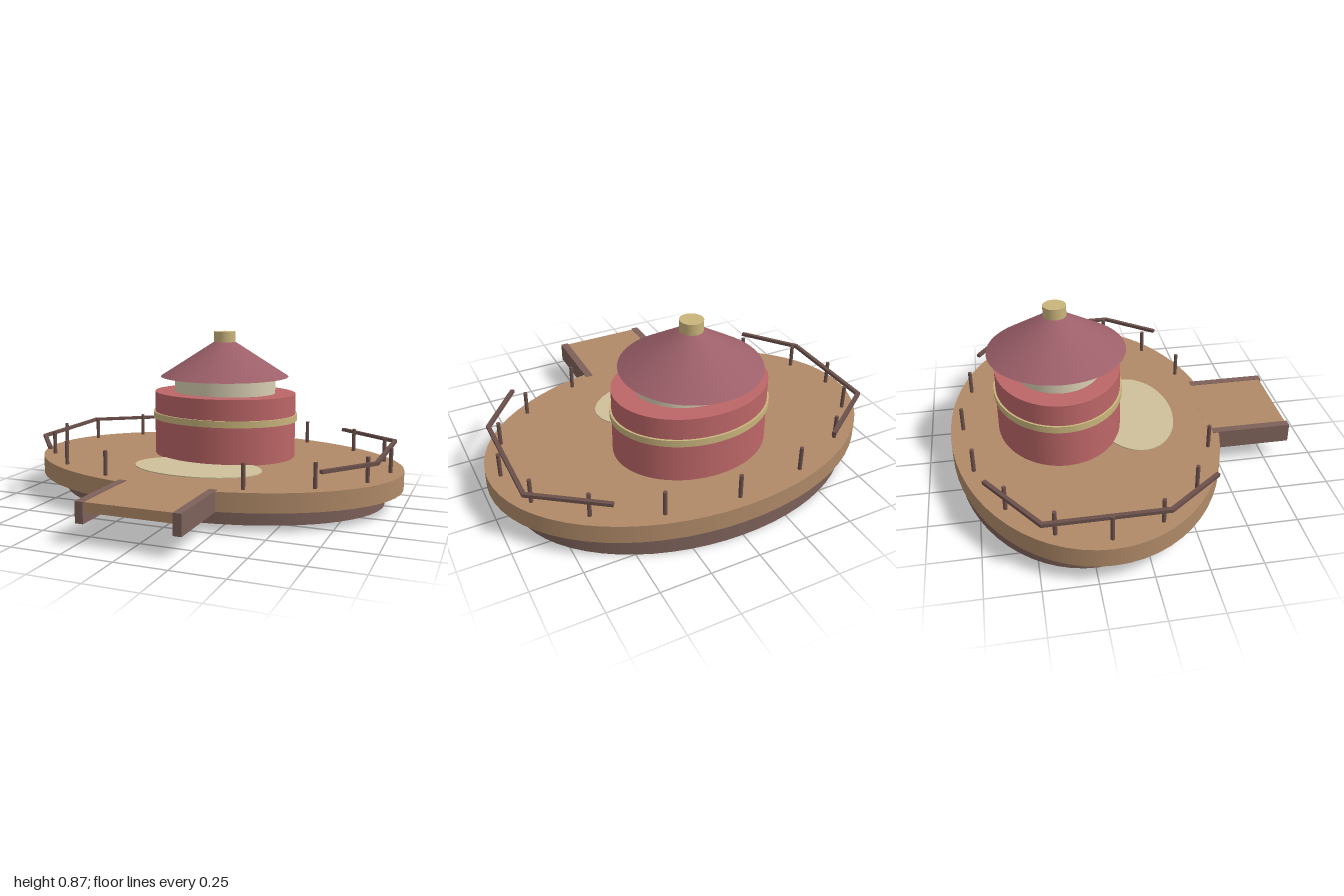
import * as THREE from 'three';

const mat = (color) => new THREE.MeshStandardMaterial({ color });
const wood = mat(0xb08a68), darkWood = mat(0x7d615a), railWood = mat(0x6b504b);
const red = mat(0xbd6667), roofRed = mat(0x9c5f69), cream = mat(0xd9ceb3);
const sand = mat(0xcfc09b), gold = mat(0xc9b47c);

export function createModel() {
  const model = new THREE.Group();

  const add = (name, geometry, material, x, y, z) => {
    const mesh = new THREE.Mesh(geometry, material);
    mesh.name = name;
    mesh.position.set(x, y, z);
    model.add(mesh);
    return mesh;
  };

  // Elliptical drum between two heights, with an optional narrower top
  const drum = (name, material, rx, rz, y0, y1, z, top = 1) => {
    const geometry = new THREE.CylinderGeometry(top, 1, y1 - y0, 64);
    geometry.scale(rx, 1, rz);
    return add(name, geometry, material, 0, (y0 + y1) / 2, z);
  };

  // Platform
  drum('foundation', darkWood, 0.9, 0.615, 0, 0.1, -0.24);
  drum('deck', wood, 1, 0.693, 0.1, 0.195, -0.182);
  drum('patio', sand, 0.34, 0.21, 0.19, 0.2, 0.082);

  // Round pavilion
  const zc = -0.31;
  drum('lowerWall', red, 0.395, 0.317, 0.19, 0.54, zc);
  drum('wallBand', gold, 0.405, 0.327, 0.395, 0.43, zc);
  drum('upperWall', cream, 0.283, 0.228, 0.53, 0.63, zc);
  drum('roof', roofRed, 0.35, 0.35, 0.627, 0.82, zc, 0.14);
  drum('roofCap', gold, 0.058, 0.058, 0.81, 0.87, zc);

  // Entrance gangway with side beams
  add('gangway', new THREE.BoxGeometry(0.44, 0.047, 0.42), wood, 0, 0.172, 0.65);
  for (const side of [-1, 1]) {
    add('gangwayBeam', new THREE.BoxGeometry(0.04, 0.1, 0.41), darkWood, side * 0.233, 0.148, 0.665);
  }

  // Posts around the deck edge, leaving the entrance open
  for (let i = 0; i < 16; i++) {
    if (i === 4) continue;
    const a = (i / 16) * Math.PI * 2;
    add('railingPost', new THREE.CylinderGeometry(0.01, 0.01, 0.13, 12), railWood,
      0.936 * Math.cos(a), 0.255, -0.18 + 0.63 * Math.sin(a));
  }

  // Handrails: three straight bars on each side
  const corners = [[0.585, -0.71], [0.91, -0.48], [0.91, 0.085], [0.71, 0.345]];
  for (const side of [-1, 1]) {
    for (let i = 0; i < 3; i++) {
      const [x0, z0] = corners[i], [x1, z1] = corners[i + 1];
      const dx = side * (x1 - x0), dz = z1 - z0;
      const bar = add('handrail', new THREE.BoxGeometry(0.02, 0.017, Math.hypot(dx, dz) + 0.01), railWood,
        side * (x0 + x1) / 2, 0.297, (z0 + z1) / 2);
      bar.rotation.y = Math.atan2(dx, dz);
    }
  }

  return model;
}
